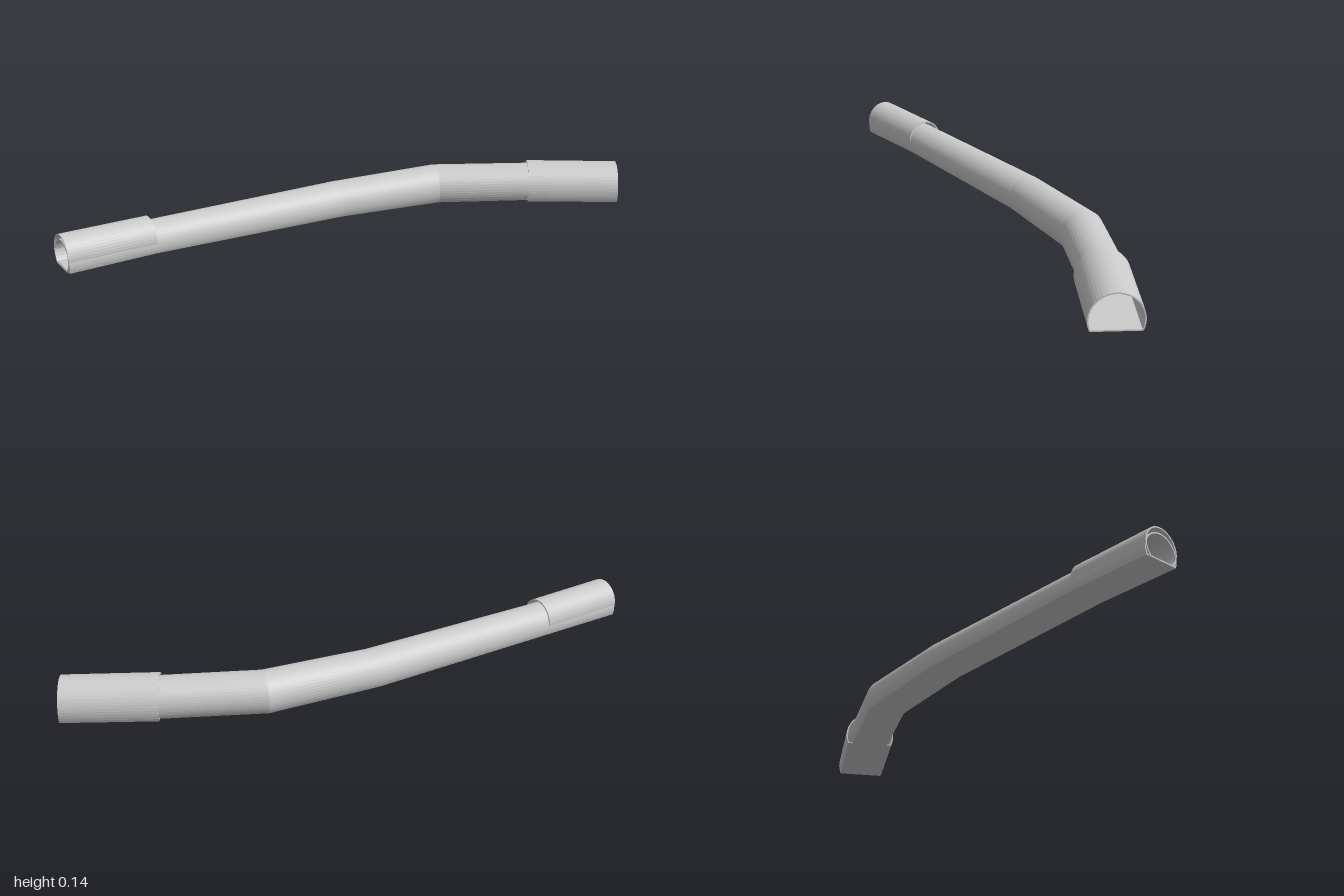
import * as THREE from 'three';

const SEGMENTS = 32;
const WALL = 0.005;

// One closed outline: a round arch cut off by a flat floor
function archRing(station, side, inset) {
  const r = station.r - inset;
  const floor = station.floor + inset;
  const a0 = Math.asin((floor - station.cy) / r);
  const ring = [];
  for (let i = 0; i <= SEGMENTS; i++) {
    const a = a0 + (Math.PI - 2 * a0) * (i / SEGMENTS);
    const w = r * Math.cos(a);
    ring.push([station.x + side.x * w, station.cy + r * Math.sin(a), station.z + side.y * w]);
  }
  return ring;
}

// Sideways vector of each station, mitred at the bends
function sideAt(stations, i) {
  const dir = (a, b) => new THREE.Vector2(b.x - a.x, b.z - a.z).normalize();
  const last = stations.length - 1;
  const before = dir(stations[Math.max(i - 1, 0)], stations[Math.max(i, 1)]);
  const after = dir(stations[Math.min(i, last - 1)], stations[Math.min(i + 1, last)]);
  const mid = before.clone().add(after).normalize();
  return new THREE.Vector2(-mid.y, mid.x).divideScalar(mid.dot(after));
}

// Hollow shell: outer rings forward, inner rings back, closed at the end rims
function archShell(name, rows, material) {
  const stations = rows.map(([x, z, cy, r, floor]) => ({ x, z, cy, r, floor }));
  const outer = stations.map((s, i) => archRing(s, sideAt(stations, i), 0));
  const inner = stations.map((s, i) => archRing(s, sideAt(stations, i), WALL));
  const rings = [...outer, ...inner.reverse()];
  const n = SEGMENTS + 1;
  const index = [];
  for (let v = 0; v < rings.length; v++) {
    const v2 = (v + 1) % rings.length;
    for (let u = 0; u < n; u++) {
      const u2 = (u + 1) % n;
      const a = v * n + u, b = v2 * n + u, c = v2 * n + u2, d = v * n + u2;
      index.push(a, b, c, a, c, d);
    }
  }
  const indexed = new THREE.BufferGeometry();
  indexed.setAttribute('position', new THREE.Float32BufferAttribute(rings.flat(2), 3));
  indexed.setIndex(index);
  const geometry = indexed.toNonIndexed();
  geometry.computeVertexNormals();
  const mesh = new THREE.Mesh(geometry, material);
  mesh.name = name;
  return mesh;
}

export function createModel() {
  const group = new THREE.Group();
  group.name = 'archedTunnel';
  const material = new THREE.MeshStandardMaterial({ color: 0xcccccc, flatShading: true });

  // Rows: x, z, arch centre height, arch radius, floor height
  group.add(archShell('tunnelTube', [
    [-0.949, 0.519, 0.033, 0.074, 0.004],
    [-0.69, 0.31, 0.037, 0.073, 0.009],
    [-0.08, -0.15, 0.042, 0.078, 0.004],
    [0.28, -0.365, 0.047, 0.082, 0],
    [0.66, -0.444, 0.046, 0.082, 0.003],
  ], material));

  // Raised hood over the narrow end
  group.add(archShell('narrowEndHood', [
    [-0.951, 0.521, 0.054, 0.073, 0.002],
    [-0.69, 0.31, 0.054, 0.073, 0.008],
  ], material));

  // Wider sleeve around the other end
  group.add(archShell('wideEndSleeve', [
    [0.638, -0.44, 0.042, 0.096, 0.004],
    [0.984, -0.487, 0.041, 0.094, 0.002],
  ], material));

  return group;
}
